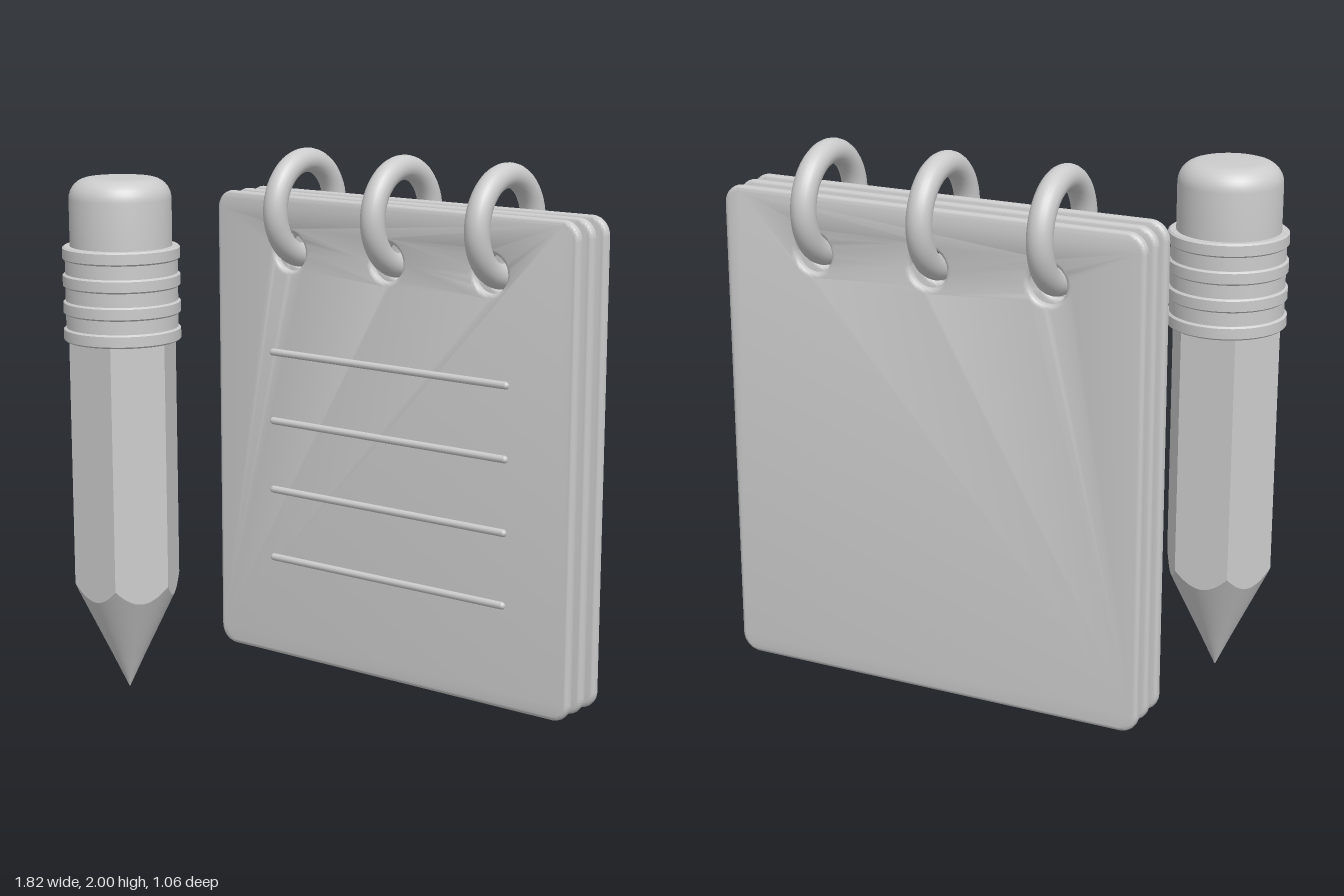
import * as THREE from 'three';
import { toCreasedNormals } from 'three/addons/utils/BufferGeometryUtils.js';

const material = new THREE.MeshStandardMaterial({ color: 0xcccccc });
const RING_X = [-0.345, 0.1, 0.547];

function add(parent, name, geometry, x = 0, y = 0, z = 0) {
  const mesh = new THREE.Mesh(geometry, material);
  mesh.name = name;
  mesh.position.set(x, y, z);
  parent.add(mesh);
  return mesh;
}

// Rounded sheet with three punched holes and a fully rounded rim
function sheetGeometry() {
  const l = -0.697, r = 0.905, b = 0.045, t = 1.83, c = 0.07, bevel = 0.018;
  const shape = new THREE.Shape();
  shape.absarc(r - c, b + c, c, -Math.PI / 2, 0);
  shape.absarc(r - c, t - c, c, 0, Math.PI / 2);
  shape.absarc(l + c, t - c, c, Math.PI / 2, Math.PI);
  shape.absarc(l + c, b + c, c, Math.PI, Math.PI * 1.5);
  for (const x of RING_X) {
    shape.holes.push(new THREE.Path().absarc(x, 1.62, 0.07, 0, Math.PI * 2, true));
  }
  const geometry = new THREE.ExtrudeGeometry(shape, {
    depth: 0.002, bevelSize: bevel, bevelThickness: bevel,
    bevelOffset: -bevel, bevelSegments: 4, curveSegments: 16,
  });
  geometry.translate(0, 0, -0.001);
  return toCreasedNormals(geometry, 0.6);
}

function createNotepad() {
  const pad = new THREE.Group();
  pad.name = 'notepad';
  const sheet = sheetGeometry();
  for (const z of [-0.235, -0.325, -0.415]) add(pad, 'sheet', sheet, 0, 0, z);

  // Binding rings
  const ring = new THREE.TorusGeometry(0.177, 0.045, 20, 64).rotateY(Math.PI / 2);
  for (const x of RING_X) add(pad, 'bindingRing', ring, x, 1.778, -0.312);

  // Raised writing lines
  const line = new THREE.CapsuleGeometry(0.014, 1.046, 6, 14).rotateZ(Math.PI / 2);
  for (const y of [1.235, 0.97, 0.702, 0.434]) add(pad, 'writingLine', line, 0.1, y, -0.215);
  return pad;
}

// Hexagon radius in direction (x, z), corners on the x axis
const HEX = 0.2025;
const CONE = 0.425 / HEX; // height of the sharpened cone per unit of radius
function hexRadius(x, z) {
  const sector = Math.PI / 3;
  const angle = Math.atan2(x, z);
  const offset = angle - Math.round(angle / sector) * sector;
  return (HEX * Math.cos(Math.PI / 6)) / Math.cos(offset);
}

// Moves the vertices of one end of a tube onto the hexagon; y comes from the radius
function fitToHex(geometry, atEnd, height) {
  const p = geometry.attributes.position;
  for (let i = 0; i < p.count; i++) {
    const x = p.getX(i), y = p.getY(i), z = p.getZ(i);
    if (!atEnd(y)) continue;
    const r = hexRadius(x, z), k = r / Math.hypot(x, z);
    p.setXYZ(i, x * k, height(r, y), z * k);
  }
  return geometry;
}

function lathe(points, crease) {
  const profile = points.map(([r, y]) => new THREE.Vector2(r, y));
  return toCreasedNormals(new THREE.LatheGeometry(profile, 64), crease);
}

function createPencil() {
  const pencil = new THREE.Group();
  pencil.name = 'pencil';
  pencil.position.set(-0.698, 0, 0.316);

  // Lead and sharpened wood share one cone
  const leadTop = 0.124, leadR = leadTop / CONE;
  add(pencil, 'lead', new THREE.CylinderGeometry(leadR, 0.002, leadTop, 48), 0, leadTop / 2, 0);
  const wood = new THREE.CylinderGeometry(HEX, leadR, 0.425 - leadTop, 96, 1, true);
  wood.translate(0, (0.425 + leadTop) / 2, 0);
  add(pencil, 'sharpenedWood', fitToHex(wood, (y) => y > 0.3, (r) => r * CONE));

  // Hexagonal shaft with a scalloped lower edge where the cone cuts it
  let shaft = new THREE.CylinderGeometry(HEX, HEX, 1, 96, 1, true).translate(0, 0.85, 0);
  shaft = fitToHex(shaft, () => true, (r, y) => (y > 1 ? 1.34 : r * CONE)).toNonIndexed();
  shaft.computeVertexNormals();
  add(pencil, 'shaft', shaft);

  // Ferrule: alternating wide and narrow bands
  const bottom = 1.33, band = 0.345 / 7, profile = [[0, bottom]];
  for (let i = 0; i < 7; i++) {
    const y0 = bottom + i * band, y1 = y0 + band;
    if (i % 2) profile.push([0.204, y0], [0.204, y1]);
    else profile.push([0.206, y0], [0.213, y0 + 0.006], [0.213, y1 - 0.006], [0.206, y1]);
  }
  profile.push([0, bottom + 7 * band]);
  add(pencil, 'ferrule', lathe(profile, 0.5));

  // Eraser with a rounded top edge
  const eraser = [[0.185, 1.66]], round = 0.075;
  for (let i = 0; i <= 8; i++) {
    const a = (i / 8) * Math.PI / 2;
    eraser.push([0.185 - round + round * Math.cos(a), 1.92 - round + round * Math.sin(a)]);
  }
  eraser.push([0, 1.92]);
  add(pencil, 'eraser', lathe(eraser, 0.6));
  return pencil;
}

export function createModel() {
  const model = new THREE.Group();
  model.name = 'notepadAndPencil';
  model.add(createNotepad(), createPencil());
  return model;
}
